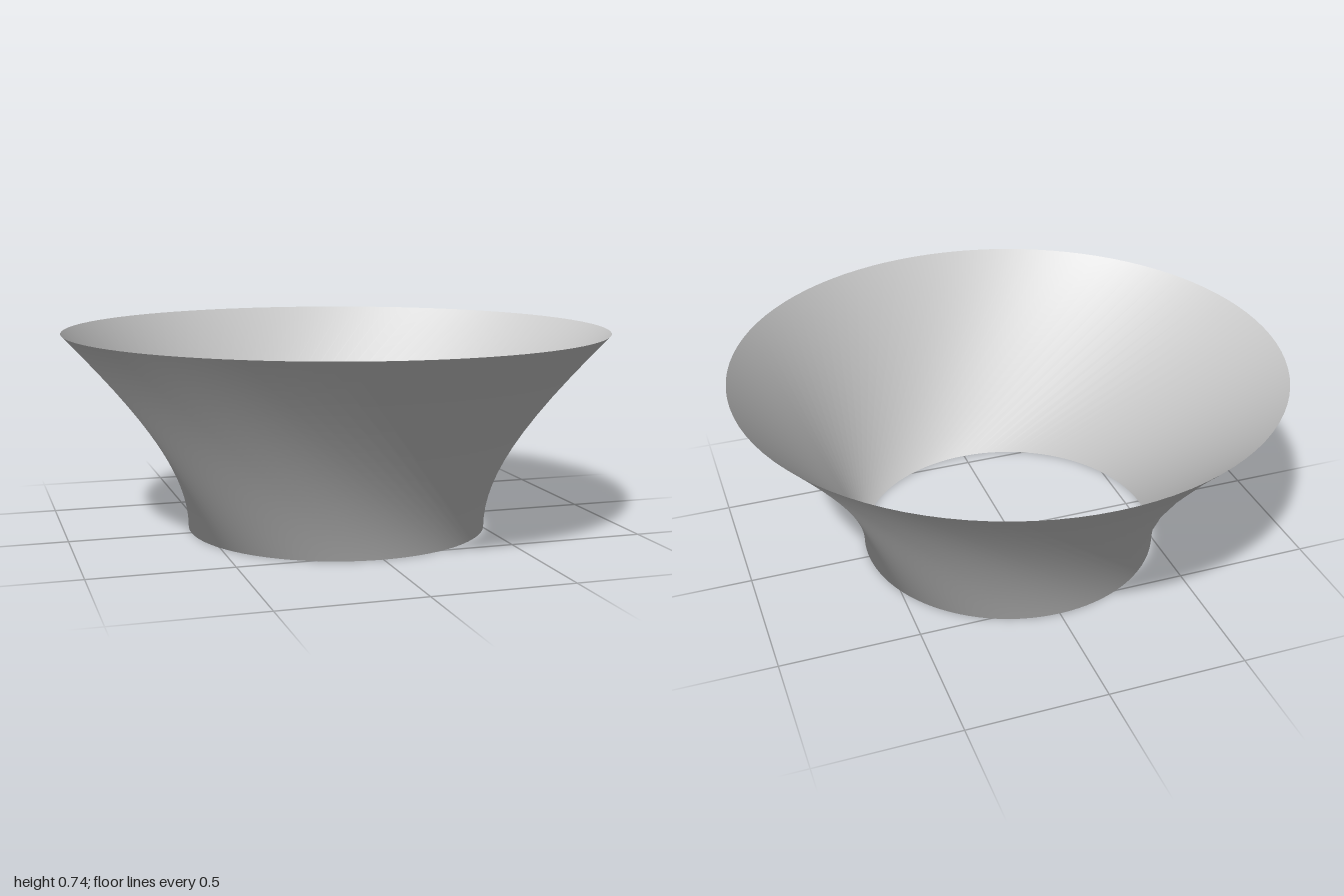
import * as THREE from 'three';
import { mergeVertices } from 'three/addons/utils/BufferGeometryUtils.js';

const HEIGHT = 0.735, BASE_RADIUS = 0.555, RIM_RADIUS = 1;
const SIDES = 96, TWIST = Math.PI / 3;

// Open flared tube whose straight rulings lean because the rim is turned against the base
function twistedWall() {
  let geo = new THREE.CylinderGeometry(RIM_RADIUS, BASE_RADIUS, HEIGHT, SIDES, 1, true);
  geo.translate(0, HEIGHT / 2, 0);
  const pos = geo.attributes.position;
  const p = new THREE.Vector3(), up = new THREE.Vector3(0, 1, 0);
  for (let i = 0; i < pos.count; i++) {
    p.fromBufferAttribute(pos, i);
    p.applyAxisAngle(up, -TWIST * p.y / HEIGHT);
    pos.setXYZ(i, p.x, p.y, p.z);
  }
  // Weld the seam so the smooth normals run all the way round
  geo.deleteAttribute('uv');
  geo.deleteAttribute('normal');
  geo = mergeVertices(geo, 1e-5);
  geo.computeVertexNormals();
  return geo;
}

export function createModel() {
  const group = new THREE.Group();
  group.name = 'twistedBowl';
  const material = new THREE.MeshStandardMaterial({ color: 0xcccccc, side: THREE.DoubleSide });
  const wall = new THREE.Mesh(twistedWall(), material);
  wall.name = 'flaredWall';
  group.add(wall);
  return group;
}
